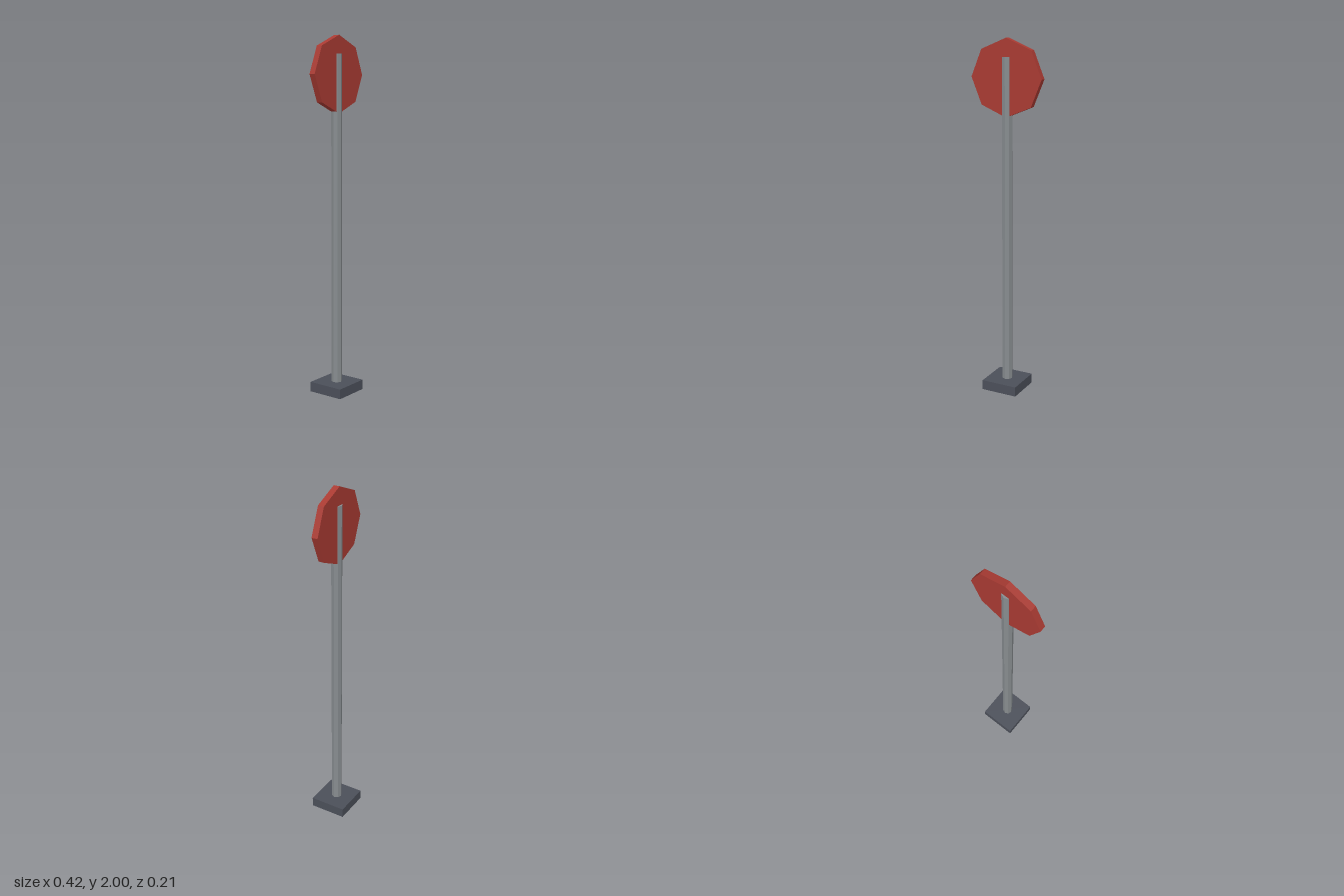
import * as THREE from 'three';

export function createModel() {
  const model = new THREE.Group();
  const material = (name, color) => {
    const m = new THREE.MeshStandardMaterial({ color, flatShading: true });
    m.name = name;
    return m;
  };
  const red = material('sign red', 0xa83a32);
  const steel = material('pole grey', 0x868b8e);
  const dark = material('base dark grey', 0x4b4f59);

  const add = (name, geometry, mat, y) => {
    const mesh = new THREE.Mesh(geometry, mat);
    mesh.name = name;
    mesh.position.y = y;
    model.add(mesh);
    return mesh;
  };

  // Square foot
  add('base', new THREE.BoxGeometry(0.212, 0.056, 0.212), dark, 0.028);

  // Eight-sided post, running up through the sign
  add('pole', new THREE.CylinderGeometry(0.03, 0.03, 1.87, 8), steel, 0.965);

  // Octagonal plate standing on a corner
  const sign = new THREE.CylinderGeometry(0.211, 0.211, 0.035, 8);
  sign.rotateX(Math.PI / 2);
  add('signPlate', sign, red, 1.789);

  return model;
}
